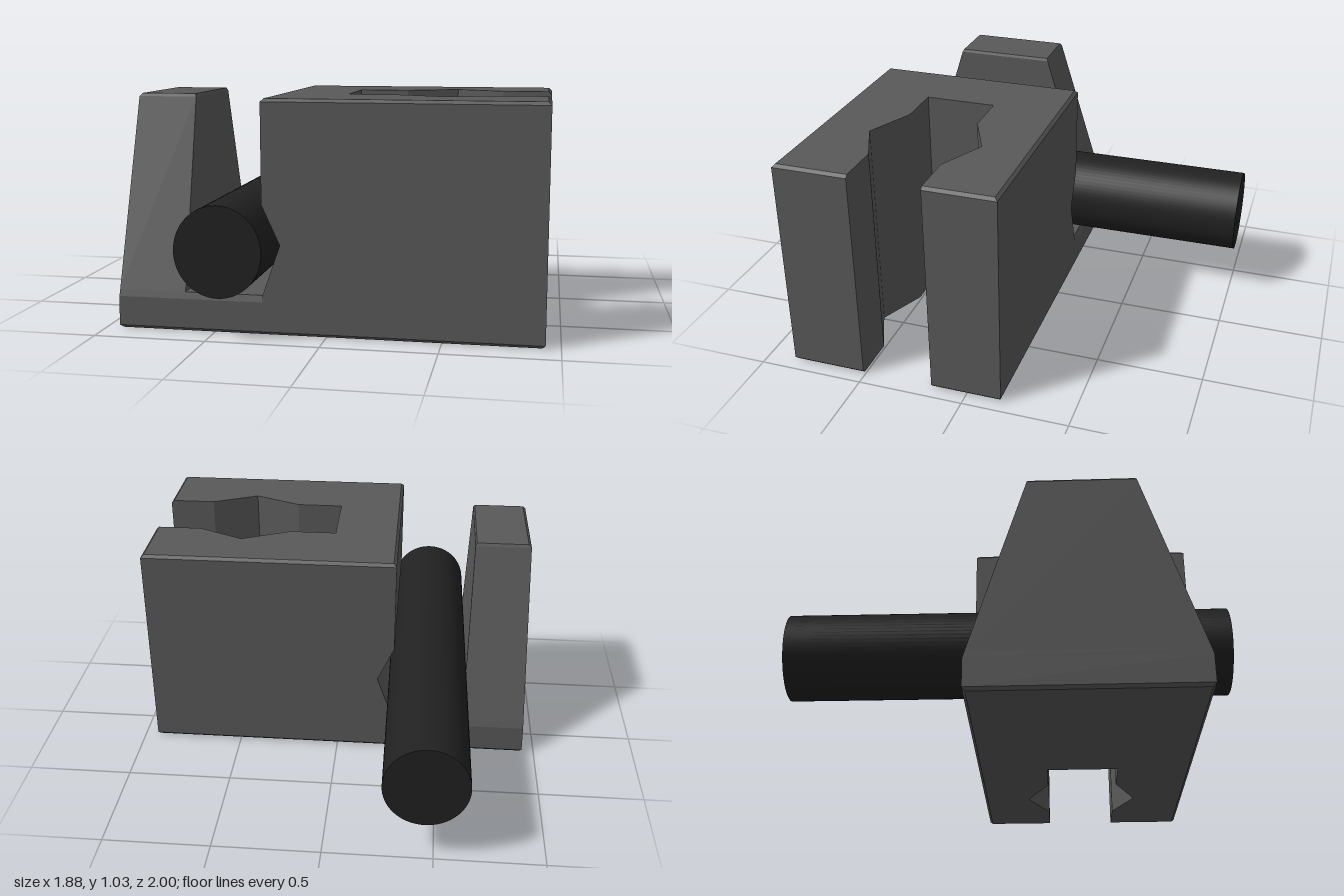
import * as THREE from 'three';

const Z0 = -0.165, Z1 = 0.863, TOP = 1.03, RIGHT = 0.935, FLOOR = 0.175, B = 0.014;

// Skins a stack of horizontal rings; each level is { y, ring: [[x, z], ...] },
// the ring running anticlockwise as seen from above.
function loft(levels) {
  const pos = [];
  const put = (l, i) => {
    const [x, z] = levels[l].ring[i % levels[l].ring.length];
    pos.push(x, levels[l].y, z);
  };
  const n = levels[0].ring.length, last = levels.length - 1;
  for (let l = 0; l < last; l++) {
    for (let i = 0; i < n; i++) {
      put(l, i); put(l, i + 1); put(l + 1, i + 1);
      put(l, i); put(l + 1, i + 1); put(l + 1, i);
    }
  }
  for (const l of [0, last]) {
    const contour = levels[l].ring.map(([x, z]) => new THREE.Vector2(x, -z));
    for (const [a, b, c] of THREE.ShapeUtils.triangulateShape(contour, [])) {
      put(l, a); put(l, l ? b : c); put(l, l ? c : b);
    }
  }
  const geo = new THREE.BufferGeometry();
  geo.setAttribute('position', new THREE.Float32BufferAttribute(pos, 3));
  geo.computeVertexNormals();
  return geo;
}

const rect = (x0, x1, z0, z1) => [[x0, z0], [x0, z1], [x1, z1], [x1, z0]];

// Block outline with the diamond-waisted slot open to the right
function blockRing(left, inset) {
  const r = RIGHT - inset, z0 = Z0 + inset, z1 = Z1 - inset;
  return [
    [left, z0], [left, z1], [r, z1],
    [r, 0.51], [0.71, 0.51], [0.49, 0.61], [0.26, 0.51], [0.035, 0.51],
    [0.035, 0.17], [0.26, 0.17], [0.49, 0.065], [0.71, 0.17], [r, 0.17],
    [r, z0],
  ];
}

export function createModel() {
  const model = new THREE.Group();
  const grey = new THREE.MeshStandardMaterial({ color: 0x595959 });
  grey.name = 'body grey';
  const black = new THREE.MeshStandardMaterial({ color: 0x212121 });
  black.name = 'rod black';

  const add = (name, geo, mat) => {
    const mesh = new THREE.Mesh(geo, mat);
    mesh.name = name;
    model.add(mesh);
    return mesh;
  };

  // Slotted block, with a V notch in its left face for the rod
  add('slottedBlock', loft([
    { y: 0, ring: blockRing(-0.28, B) },
    { y: B, ring: blockRing(-0.28, 0) },
    { y: FLOOR, ring: blockRing(-0.28, 0) },
    { y: 0.4, ring: blockRing(-0.2, 0) },
    { y: 0.575, ring: blockRing(-0.28, 0) },
    { y: TOP - B, ring: blockRing(-0.28, 0) },
    { y: TOP, ring: blockRing(-0.28 + B, B) },
  ]), grey);

  // Base plate joining block and jaw
  add('basePlate', loft([
    { y: 0, ring: rect(-0.94 + B, -0.28, Z0 + B, Z1 - B) },
    { y: B, ring: rect(-0.94, -0.28, Z0, Z1) },
    { y: 0.145, ring: rect(-0.937, -0.28, Z0, Z1) },
    { y: FLOOR, ring: rect(-0.936, -0.28, Z0 + 0.009, Z1 - 0.009) },
  ]), grey);

  // Tapered upright jaw
  add('taperedJaw', loft([
    { y: FLOOR, ring: rect(-0.936, -0.632, Z0 + 0.009, Z1 - 0.009) },
    { y: TOP - B, ring: rect(-0.921, -0.651, 0.105, 0.593) },
    { y: TOP, ring: rect(-0.921 + B, -0.651 - B / 2, 0.112, 0.586) },
  ]), grey);

  // Round rod lying in the notch, turned very slightly
  const rodGeo = new THREE.CylinderGeometry(0.2, 0.2, 2, 64);
  rodGeo.rotateX(Math.PI / 2).scale(0.96, 1, 1);
  const rod = add('rod', rodGeo, black);
  rod.position.set(-0.447, 0.39, 0);
  rod.rotation.y = 0.009;

  return model;
}
